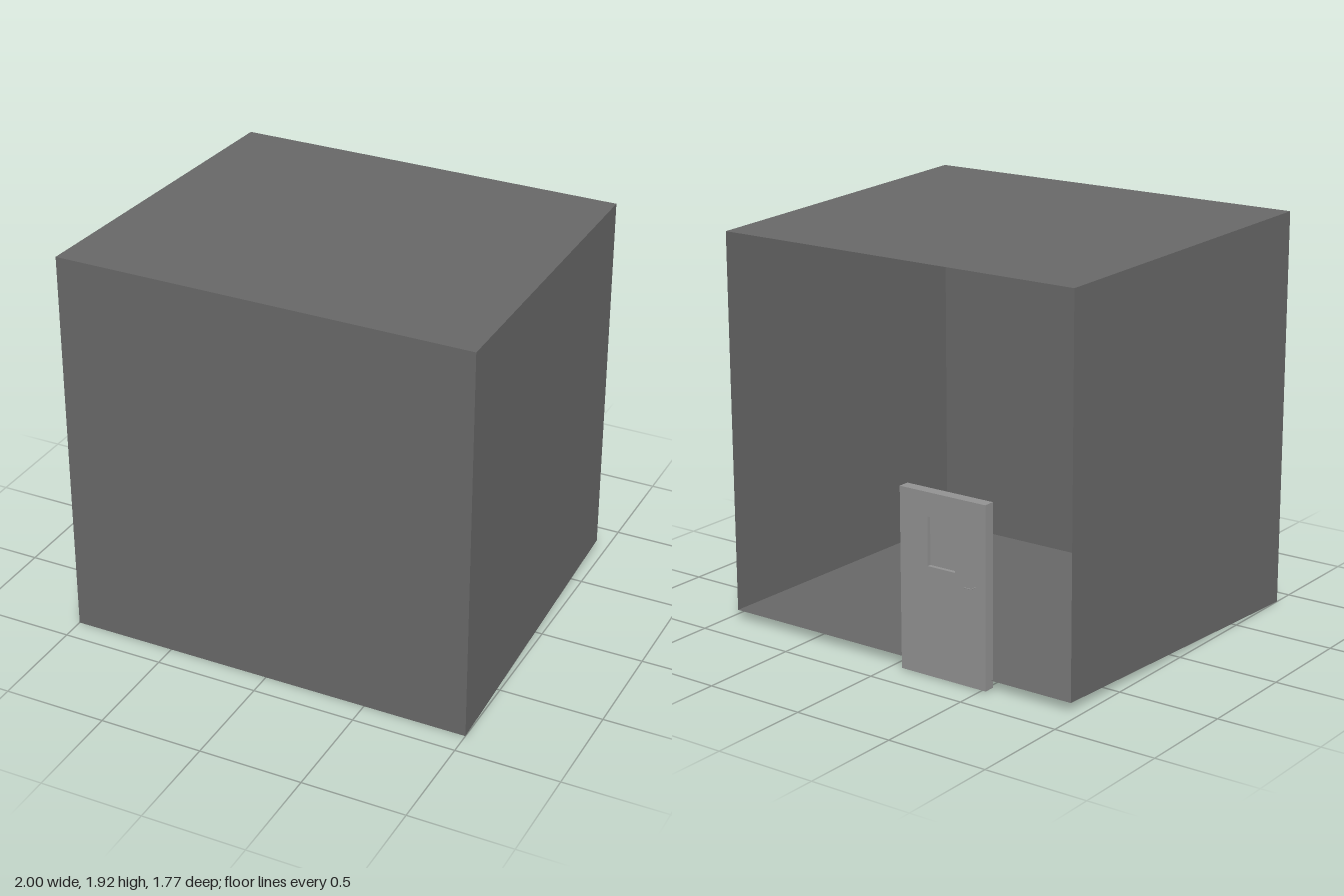
import * as THREE from 'three';

const wallGrey = new THREE.MeshStandardMaterial({ color: 0x686868, side: THREE.DoubleSide });
const doorGrey = new THREE.MeshStandardMaterial({ color: 0x929292 });

function add(parent, name, geometry, material, x = 0, y = 0, z = 0) {
  const mesh = new THREE.Mesh(geometry, material);
  mesh.name = name;
  mesh.position.set(x, y, z);
  parent.add(mesh);
}

// Thin-walled room, open at the back and narrowing slightly towards the opening
function roomShell() {
  const front = 0.885, back = -0.815, height = 1.92;
  const g = new THREE.BoxGeometry(2, height, front - back);
  g.setIndex(Array.from(g.index.array).slice(0, 30)); // leave out the back face
  g.clearGroups();
  const p = g.attributes.position;
  for (let i = 0; i < p.count; i++) {
    if (p.getZ(i) < 0) p.setXY(i, p.getX(i) * 0.955, p.getY(i) * 0.953);
  }
  g.translate(0, height / 2, (front + back) / 2);
  g.computeVertexNormals();
  return g;
}

function rectangle(path, x0, y0, x1, y1) {
  path.moveTo(x0, y0);
  path.lineTo(x1, y0);
  path.lineTo(x1, y1);
  path.lineTo(x0, y1);
  path.closePath();
  return path;
}

export function createModel() {
  const model = new THREE.Group();
  model.name = 'room';
  add(model, 'roomWalls', roomShell(), wallGrey);

  const door = new THREE.Group();
  door.name = 'door';
  model.add(door);

  // Door leaf with a window opening
  const leaf = rectangle(new THREE.Shape(), -0.53, 0.007, -0.063, 0.868);
  leaf.holes.push(rectangle(new THREE.Path(), -0.365, 0.525, -0.215, 0.755));
  const leafGeometry = new THREE.ExtrudeGeometry(leaf, { depth: 0.055, bevelEnabled: false });
  add(door, 'doorLeaf', leafGeometry, doorGrey, 0, 0, -0.855);

  // Pane set back inside the opening
  add(door, 'windowPane', new THREE.BoxGeometry(0.15, 0.23, 0.015), doorGrey, -0.29, 0.64, -0.8275);

  // Lever handle: a short stem and a bar
  const stem = new THREE.CylinderGeometry(0.002, 0.002, 0.035, 8).rotateX(Math.PI / 2);
  add(door, 'handleStem', stem, doorGrey, -0.477, 0.482, -0.871);
  const bar = new THREE.CylinderGeometry(0.002, 0.002, 0.042, 8).rotateZ(Math.PI / 2);
  add(door, 'handleBar', bar, doorGrey, -0.458, 0.482, -0.887);

  return model;
}
